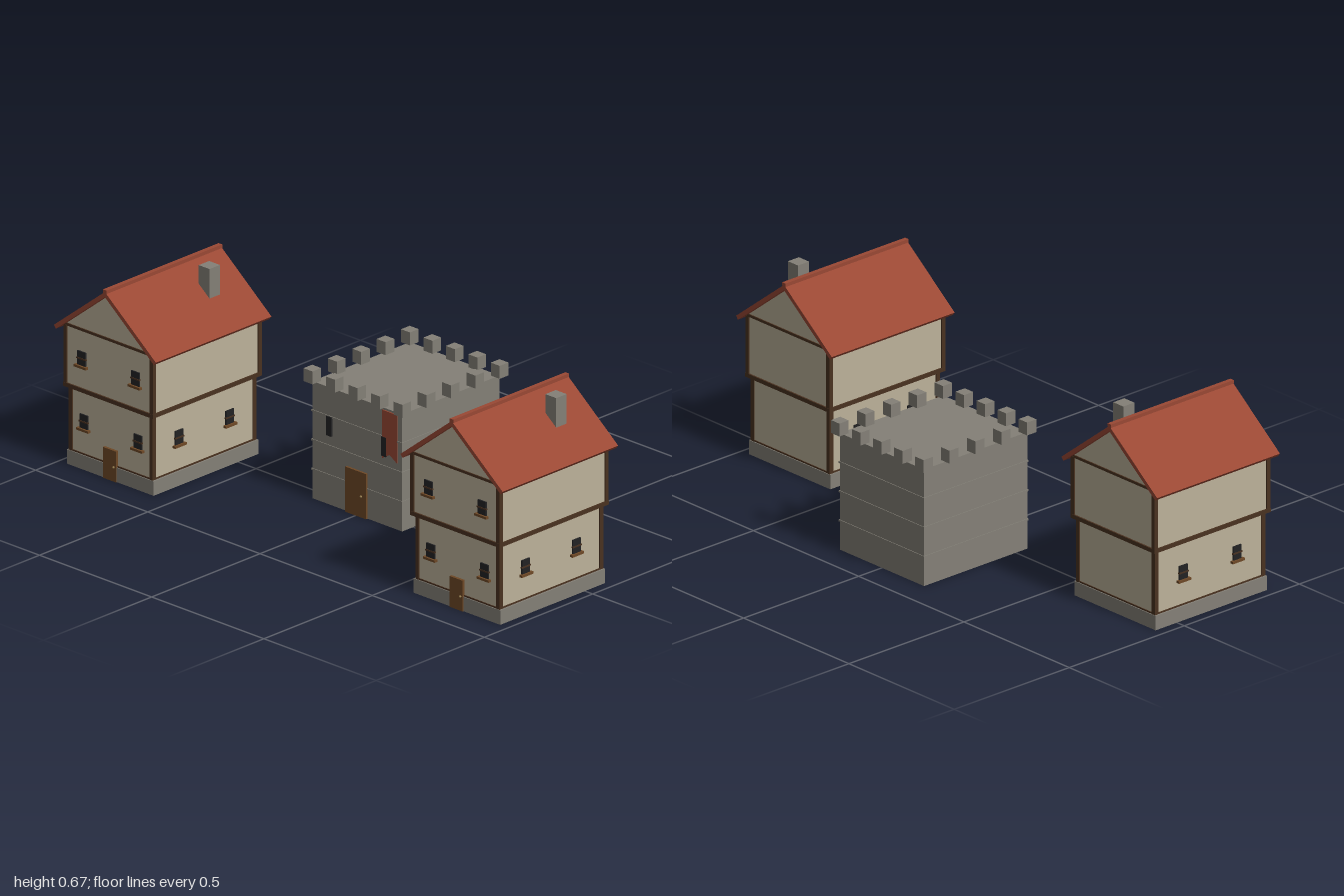
import * as THREE from 'three';

const mat = (name, color) => Object.assign(new THREE.MeshStandardMaterial({ color }), { name });

export function createModel() {
  const plaster = mat('plaster', 0xbcb29a);
  const stone = mat('stone', 0x848077);
  const tile = mat('roofTile', 0x9a4834);
  const timber = mat('darkTimber', 0x4a3220);
  const wood = mat('doorWood', 0x6e4826);
  const dark = mat('darkOpening', 0x222224);
  const brass = mat('brass', 0x9c8354);

  const add = (parent, name, geometry, material, x = 0, y = 0, z = 0) => {
    const mesh = new THREE.Mesh(geometry, material);
    mesh.name = name;
    mesh.position.set(x, y, z);
    parent.add(mesh);
    return mesh;
  };
  // Box given by its centre in x and z and its bottom and top in y
  const box = (parent, name, material, w, d, y0, y1, x = 0, z = 0) =>
    add(parent, name, new THREE.BoxGeometry(w, y1 - y0, d), material, x, (y0 + y1) / 2, z);
  // Outline in x and y, extruded along z about its centre
  const slab = (parent, name, material, points, depth, z = 0) => {
    const shape = new THREE.Shape(points.map(([x, y]) => new THREE.Vector2(x, y)));
    const geometry = new THREE.ExtrudeGeometry(shape, { depth, bevelEnabled: false });
    return add(parent, name, geometry.translate(0, 0, -depth / 2), material, 0, 0, z);
  };

  // Window facing +z, with a crossbar and a sill
  const addWindow = (parent, x, y, z, turn = 0) => {
    const g = new THREE.Group();
    g.name = 'window';
    box(g, 'windowPane', dark, 0.036, 0.008, 0, 0.052);
    box(g, 'windowBar', timber, 0.041, 0.012, 0.025, 0.03);
    box(g, 'windowSill', wood, 0.053, 0.018, -0.004, 0.004, 0, 0.002);
    g.position.set(x, y, z);
    g.rotation.y = turn;
    parent.add(g);
  };

  const addDoor = (parent, w, h, z, knobX) => {
    box(parent, 'door', wood, w, 0.012, 0, h, 0, z);
    add(parent, 'doorKnob', new THREE.SphereGeometry(0.004, 10, 8), brass, knobX, h * 0.47, z + 0.008);
  };

  const makeHouse = () => {
    const h = new THREE.Group();
    h.name = 'house';
    box(h, 'foundation', stone, 0.386, 0.484, 0, 0.05);
    box(h, 'groundFloorWall', plaster, 0.368, 0.472, 0.05, 0.275);
    slab(h, 'upperFloorWall', plaster,
      [[-0.195, 0.28], [0.195, 0.28], [0.195, 0.491], [0, 0.647], [-0.195, 0.491]], 0.494);

    // Timber frame
    box(h, 'sillBeam', timber, 0.374, 0.478, 0.048, 0.055);
    box(h, 'floorBeam', timber, 0.4, 0.505, 0.272, 0.286);
    box(h, 'wallPlate', timber, 0.398, 0.502, 0.485, 0.494);
    for (const sx of [-1, 1]) {
      for (const sz of [-1, 1]) {
        box(h, 'lowerPost', timber, 0.015, 0.016, 0.05, 0.275, sx * 0.18, sz * 0.232);
        box(h, 'upperPost', timber, 0.015, 0.015, 0.28, 0.488, sx * 0.192, sz * 0.2445);
      }
    }

    // Roof, ridge and chimney
    slab(h, 'roof', tile, [[0, 0.66], [-0.2275, 0.48], [-0.2185, 0.469],
      [0, 0.642], [0.2185, 0.469], [0.2275, 0.48]], 0.534);
    box(h, 'ridgeCap', tile, 0.016, 0.534, 0.655, 0.667);
    box(h, 'chimney', stone, 0.048, 0.048, 0.53, 0.667, 0.097, -0.115);

    // Windows and door
    for (const s of [-1, 1]) {
      addWindow(h, s * 0.12, 0.138, 0.237);
      addWindow(h, s * 0.12, 0.361, 0.248);
      for (const z of [-0.116, 0.118]) addWindow(h, s * 0.185, 0.138, z, s * Math.PI / 2);
    }
    addDoor(h, 0.058, 0.107, 0.24, 0.02);
    return h;
  };

  const makeKeep = () => {
    const k = new THREE.Group();
    k.name = 'keep';
    box(k, 'keepWall', stone, 0.4, 0.45, 0, 0.407);
    for (const y of [0.102, 0.204, 0.306])
      box(k, 'stoneCourse', stone, 0.405, 0.455, y - 0.003, y + 0.003);
    // Battlements around the rim
    for (let i = -2; i <= 2; i++) {
      for (let j = -2; j <= 2; j++) {
        if (Math.abs(i) < 2 && Math.abs(j) < 2) continue;
        box(k, 'merlon', stone, 0.04, 0.04, 0.407, 0.452, i * 0.1, j * 0.1125);
      }
    }
    for (const s of [-1, 1])
      box(k, 'arrowSlit', dark, 0.022, 0.009, 0.24, 0.307, s * 0.122, 0.226);
    slab(k, 'banner', tile, [[0.115, 0.4], [0.115, 0.232], [0.1475, 0.252],
      [0.18, 0.232], [0.18, 0.4]], 0.005, 0.2265);
    addDoor(k, 0.092, 0.157, 0.227, 0.026);
    return k;
  };

  const model = new THREE.Group();
  model.name = 'village';
  for (const s of [-1, 1]) {
    const house = makeHouse();
    house.name = s < 0 ? 'rightHouse' : 'leftHouse';
    house.position.set(s * 0.7725, 0, 0.149);
    model.add(house);
  }
  const keep = makeKeep();
  keep.position.z = -0.174;
  model.add(keep);
  return model;
}
